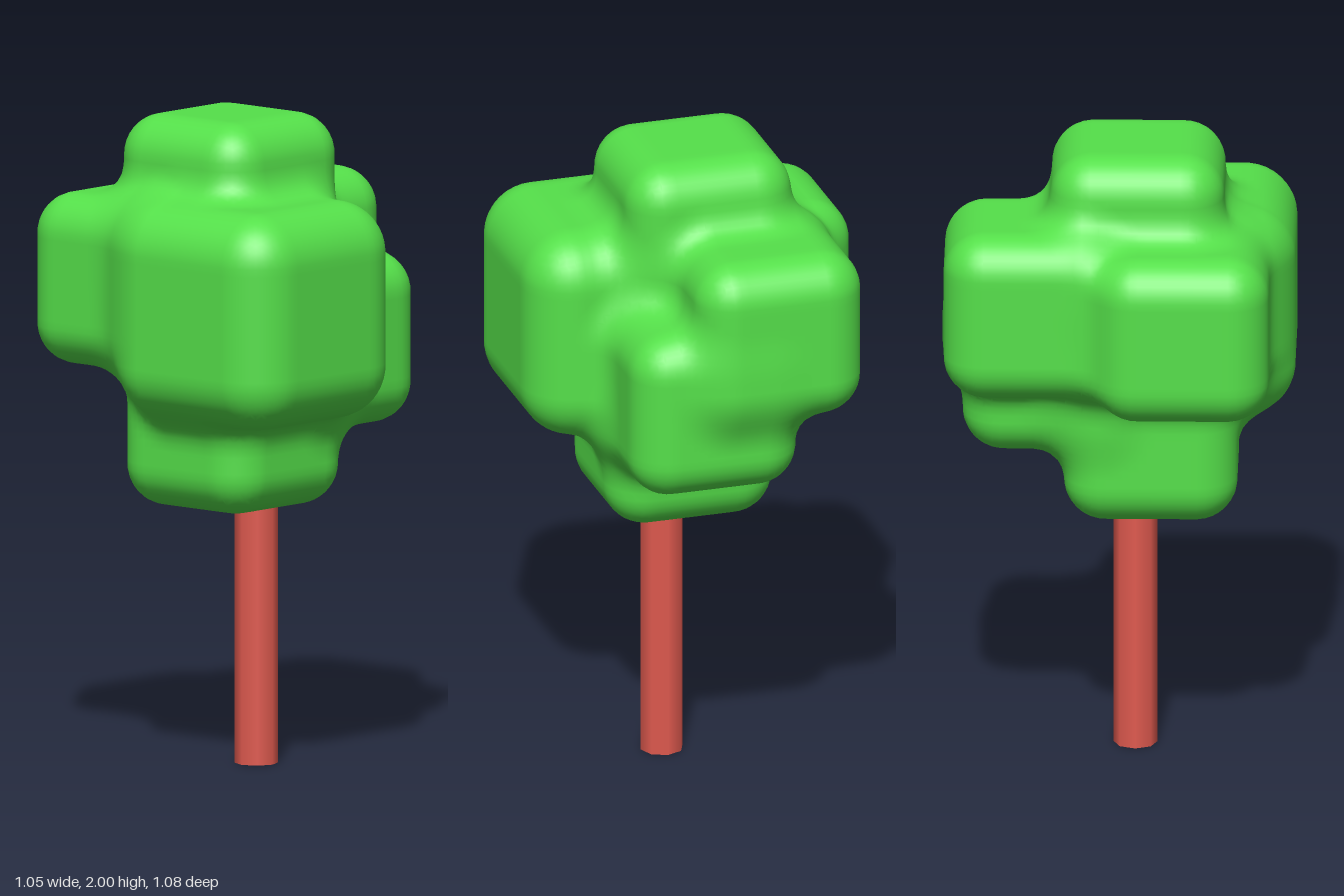
import * as THREE from 'three';

// Leaf clumps: cubes given as centre x, y, z and size
const CLUMPS = [
  [-0.035, 1.735, 0.055, 0.53], // crown
  [0.015, 1.065, 0.095, 0.53],  // base
  [0.19, 1.43, 0.2, 0.67],      // large front clump
  [-0.265, 1.485, 0.195, 0.53], // side clump
  [-0.155, 1.52, -0.27, 0.53],  // upper back clump
  [0.035, 1.285, -0.215, 0.53], // lower back clump
];
const BLEND = 0.11;

// Signed distance to one rounded cube
function cubeDistance(x, y, z, [cx, cy, cz, size]) {
  const r = size * 0.24, h = size / 2 - r;
  const a = Math.abs(x - cx) - h, b = Math.abs(y - cy) - h, c = Math.abs(z - cz) - h;
  const outside = Math.hypot(Math.max(a, 0), Math.max(b, 0), Math.max(c, 0));
  return outside + Math.min(Math.max(a, b, c), 0) - r;
}

// All cubes joined with soft fillets
function crownDistance(x, y, z) {
  let d = 10;
  for (const clump of CLUMPS) {
    const e = cubeDistance(x, y, z, clump);
    const t = Math.max(BLEND - Math.abs(d - e), 0) / BLEND;
    d = Math.min(d, e) - t * t * BLEND / 4;
  }
  return d;
}

function gradient(x, y, z) {
  const e = 0.004;
  return new THREE.Vector3(
    crownDistance(x + e, y, z) - crownDistance(x - e, y, z),
    crownDistance(x, y + e, z) - crownDistance(x, y - e, z),
    crownDistance(x, y, z + e) - crownDistance(x, y, z - e)).normalize();
}

// Skin the joined cubes: one vertex per surface cell, one quad per crossed grid edge
function crownGeometry() {
  const step = 0.025, n = 52, origin = [-0.65, 0.75, -0.65];
  const stride = [1, n, n * n];
  const field = new Float32Array(n * n * n);
  const at = (i, axis) => origin[axis] + i * step;
  for (let k = 0; k < n; k++)
    for (let j = 0; j < n; j++)
      for (let i = 0; i < n; i++)
        field[i + j * n + k * n * n] = crownDistance(at(i, 0), at(j, 1), at(k, 2));

  const positions = [], normals = [], index = [];
  const vertexOf = new Map();
  // Cell centre pulled onto the surface
  function vertex(cell) {
    if (!vertexOf.has(cell)) {
      const p = new THREE.Vector3(
        at(cell % n + 0.5, 0),
        at(Math.floor(cell / n) % n + 0.5, 1),
        at(Math.floor(cell / (n * n)) + 0.5, 2));
      for (let s = 0; s < 4; s++)
        p.addScaledVector(gradient(p.x, p.y, p.z), -crownDistance(p.x, p.y, p.z));
      vertexOf.set(cell, positions.length / 3);
      positions.push(p.x, p.y, p.z);
      normals.push(...gradient(p.x, p.y, p.z).toArray());
    }
    return vertexOf.get(cell);
  }

  for (let k = 1; k < n - 1; k++)
    for (let j = 1; j < n - 1; j++)
      for (let i = 1; i < n - 1; i++) {
        const cell = i + j * n + k * n * n;
        for (let axis = 0; axis < 3; axis++) {
          const inside = field[cell] < 0;
          if (inside === field[cell + stride[axis]] < 0) continue;
          const b = stride[(axis + 1) % 3], c = stride[(axis + 2) % 3];
          const q = [cell - b - c, cell - c, cell, cell - b].map(vertex);
          if (!inside) q.reverse();
          index.push(q[0], q[1], q[2], q[0], q[2], q[3]);
        }
      }

  const geometry = new THREE.BufferGeometry();
  geometry.setAttribute('position', new THREE.Float32BufferAttribute(positions, 3));
  geometry.setAttribute('normal', new THREE.Float32BufferAttribute(normals, 3));
  geometry.setIndex(index);
  return geometry;
}

export function createModel() {
  const tree = new THREE.Group();
  tree.name = 'tree';

  // Leafy crown
  const crown = new THREE.Mesh(crownGeometry(), new THREE.MeshStandardMaterial({ color: 0x55e04a }));
  crown.name = 'crown';
  tree.add(crown);

  // Trunk, reaching a little way into the crown
  const trunk = new THREE.Mesh(
    new THREE.CylinderGeometry(0.067, 0.067, 0.95, 8),
    new THREE.MeshStandardMaterial({ color: 0xe05a4f }));
  trunk.name = 'trunk';
  trunk.position.set(0.067, 0.475, 0.045);
  tree.add(trunk);

  return tree;
}
